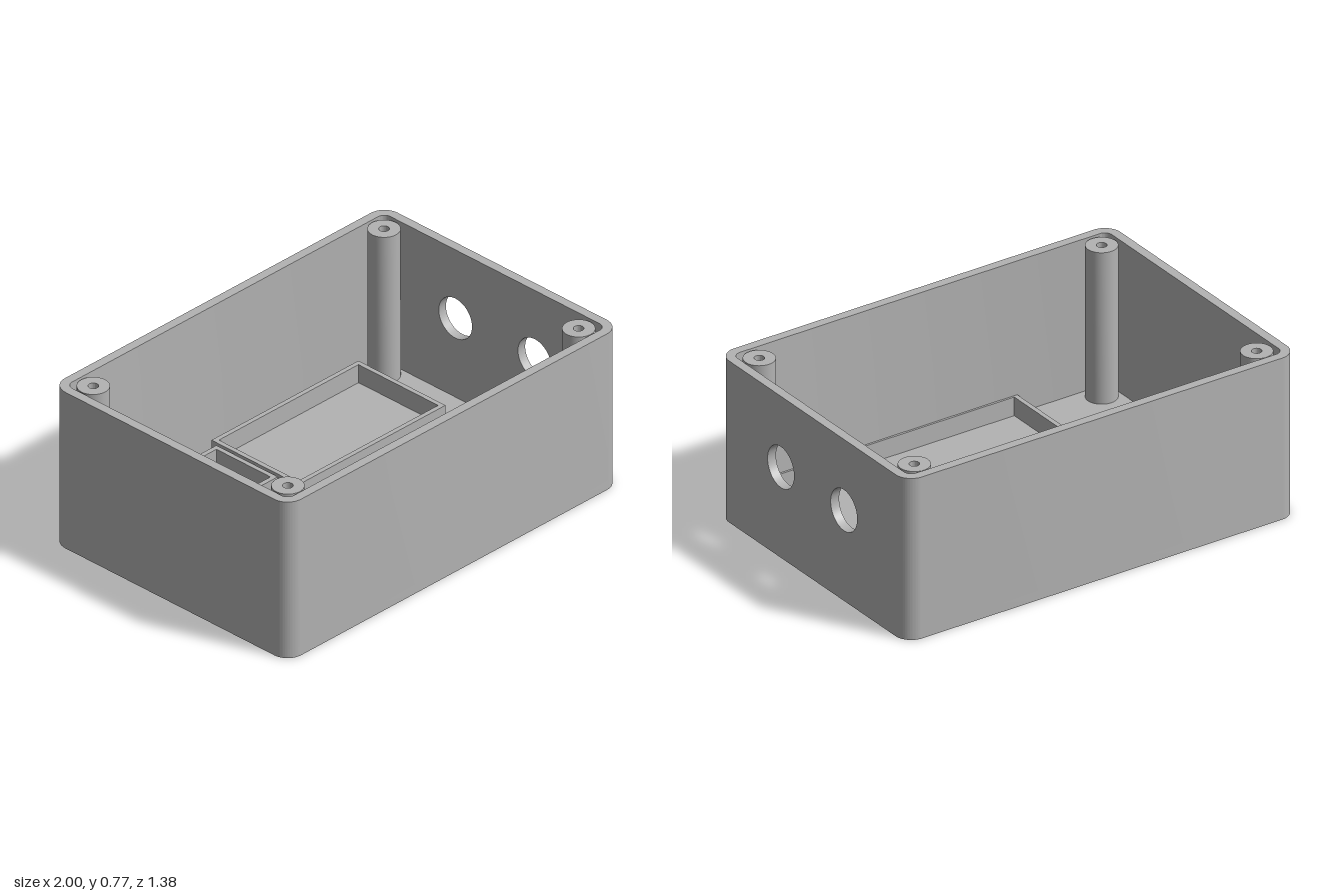
import * as THREE from 'three';
import { toCreasedNormals } from 'three/addons/utils/BufferGeometryUtils.js';

const W = 1, D = 0.692, H = 0.77;      // half width, half depth, height
const T = 0.043, R = 0.08;             // wall thickness, corner radius
const RAIL = 0.022, RAIL_TOP = 0.132;  // tray rails

const grey = new THREE.MeshStandardMaterial({ color: 0xb3b3b3 });
grey.name = 'grey plastic';

function extrude(shape, depth) {
  return new THREE.ExtrudeGeometry(shape, { depth, bevelEnabled: false, curveSegments: 24 });
}

// Plan shape (x, -z) raised from y0 to y1
function slab(name, shape, y0, y1) {
  const g = extrude(shape, y1 - y0).rotateX(-Math.PI / 2).translate(0, y0, 0);
  const mesh = new THREE.Mesh(toCreasedNormals(g, 0.6), grey);
  mesh.name = name;
  return mesh;
}

function circle(x, y, r, Type = THREE.Path) {
  return new Type().absarc(x, y, r, 0, Math.PI * 2, false);
}

function rect(x0, y0, x1, y1, Type = THREE.Path) {
  return new Type().moveTo(x0, y0).lineTo(x1, y0).lineTo(x1, y1).lineTo(x0, y1).closePath();
}

// Floor with rounded corners and a large round opening
function makeFloor() {
  const s = new THREE.Shape();
  const x = W - R, z = D - R, q = Math.PI / 2;
  s.absarc(x, z, R, 0, q);
  s.absarc(-x, z, R, q, 2 * q);
  s.absarc(-x, -z, R, 2 * q, 3 * q);
  s.absarc(x, -z, R, 3 * q, 4 * q);
  s.closePath();
  s.holes.push(circle(-0.711, 0, 0.187));
  return slab('floor', s, 0, T);
}

// Three walls and all four corners as one C-shaped strip, open at +x
function makeWalls() {
  const s = new THREE.Shape();
  const x = W - R, z = D - R, r = R - T, q = Math.PI / 2;
  s.absarc(x, z, R, 0, q);
  s.absarc(-x, z, R, q, 2 * q);
  s.absarc(-x, -z, R, 2 * q, 3 * q);
  s.absarc(x, -z, R, 3 * q, 4 * q);
  s.absarc(x, -z, r, 4 * q, 3 * q, true);
  s.absarc(-x, -z, r, 3 * q, 2 * q, true);
  s.absarc(-x, z, r, 2 * q, q, true);
  s.absarc(x, z, r, q, 0, true);
  s.closePath();
  return slab('walls', s, T, H);
}

// Side wall with two cable holes
function makeCableWall() {
  const s = rect(-(D - R), T, D - R, H, THREE.Shape);
  for (const side of [-1, 1]) s.holes.push(circle(side * 0.232, 0.432, 0.0975));
  const g = extrude(s, T).rotateY(Math.PI / 2).translate(W - T, 0, 0);
  const mesh = new THREE.Mesh(toCreasedNormals(g, 0.6), grey);
  mesh.name = 'cableWall';
  return mesh;
}

// Low rectangular frame standing on the floor
function makeTray(name, x0, z0, x1, z1) {
  const s = rect(x0, -z1, x1, -z0, THREE.Shape);
  s.holes.push(rect(x0 + RAIL, -z1 + RAIL, x1 - RAIL, -z0 - RAIL));
  return slab(name, s, T, RAIL_TOP);
}

export function createModel() {
  const model = new THREE.Group();
  model.name = 'enclosure';
  model.add(makeFloor(), makeWalls(), makeCableWall());

  model.add(makeTray('smallTray', -0.62, -0.582, -0.122, -0.222));
  model.add(makeTray('mediumTray', -0.106, -0.626, 0.778, -0.116));
  model.add(makeTray('largeTray', -0.498, -0.047, 0.8, 0.661));

  // Screw posts in the corners
  for (const sx of [-1, 1]) for (const sz of [-1, 1]) {
    const s = circle(sx * 0.875, sz * 0.57, 0.07, THREE.Shape);
    s.holes.push(circle(sx * 0.875, sz * 0.57, 0.0225));
    model.add(slab('screwPost', s, T, H - 0.005));
  }
  return model;
}
